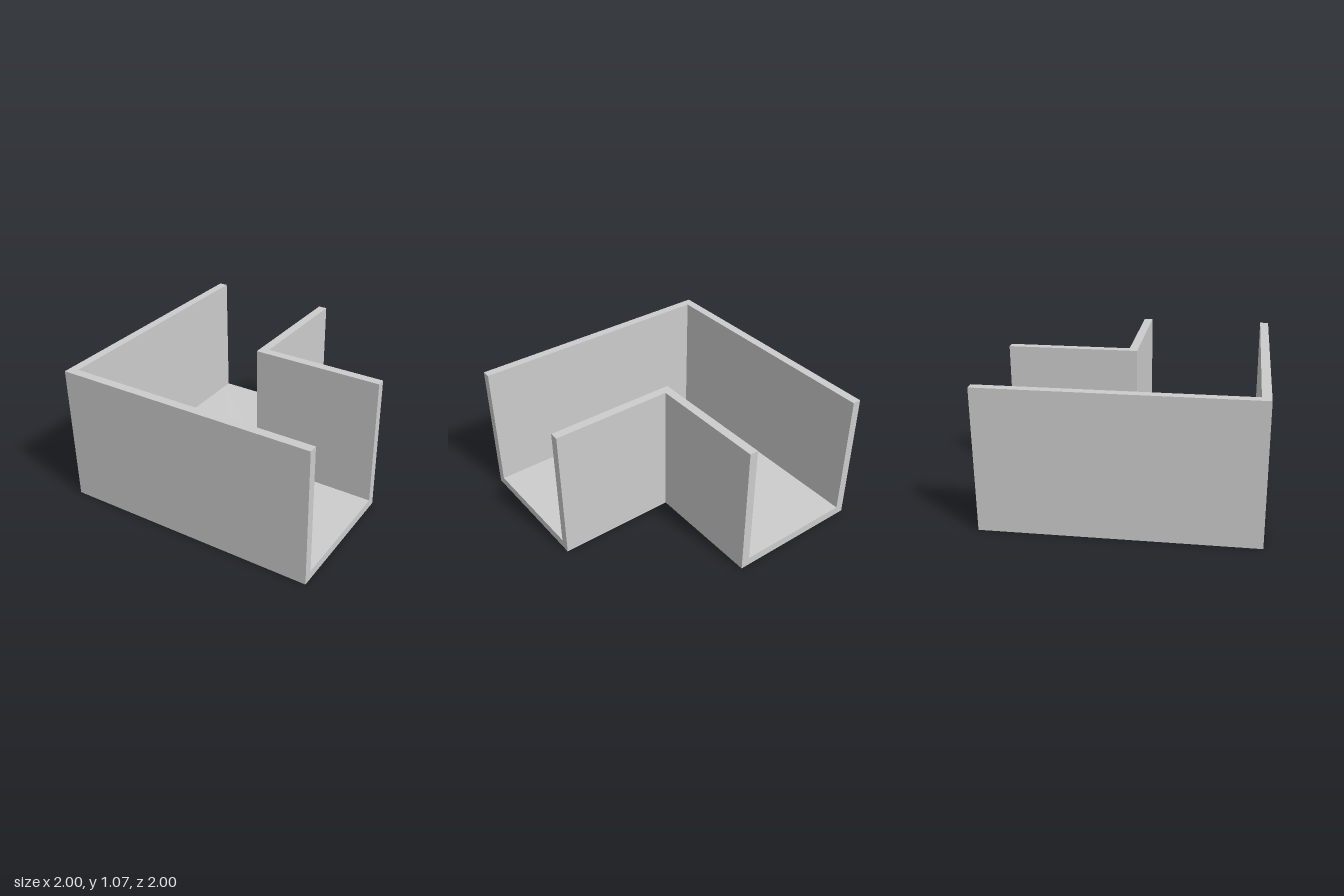
import * as THREE from 'three';

const T = 0.067;      // wall and floor thickness
const HEIGHT = 1.067;

// Shapes are drawn in plan as [x, z] and extruded upwards
const toPoints = (pts) => pts.map(([x, z]) => new THREE.Vector2(x, -z));

function extrudeUp(shape, base, height) {
  const geometry = new THREE.ExtrudeGeometry(shape, { depth: height, bevelEnabled: false, curveSegments: 24 });
  geometry.rotateX(-Math.PI / 2);
  geometry.translate(0, base, 0);
  return geometry;
}

export function createModel() {
  const group = new THREE.Group();
  const grey = new THREE.MeshStandardMaterial({ color: 0xcccccc });
  grey.name = 'light grey';

  const add = (name, geometry) => {
    const mesh = new THREE.Mesh(geometry, grey);
    mesh.name = name;
    group.add(mesh);
  };

  // L-shaped floor with a diagonal slot and two round holes
  const floor = new THREE.Shape(toPoints([[-1, 1], [1, 1], [1, -T], [T, -T], [T, -1], [-1, -1]]));
  floor.holes.push(new THREE.Path(toPoints([[-0.185, 0.07], [-0.07, 0.185], [-0.745, 0.86], [-0.86, 0.745]])));
  for (const [x, z] of [[-0.62, 0.31], [-0.31, 0.62]]) {
    floor.holes.push(new THREE.Path().absarc(x, -z, 0.037, 0, Math.PI * 2, true));
  }
  add('floor', extrudeUp(floor, 0, T));

  // Outer corner wall
  const outer = new THREE.Shape(toPoints([[-1, -1], [-1, 1], [1, 1], [1, 1 - T], [T - 1, 1 - T], [T - 1, -1]]));
  add('outerWall', extrudeUp(outer, T, HEIGHT - T));

  // Inner corner wall
  const inner = new THREE.Shape(toPoints([[0, -1], [0, 0], [1, 0], [1, -T], [T, -T], [T, -1]]));
  add('innerWall', extrudeUp(inner, T, HEIGHT - T));

  return group;
}
